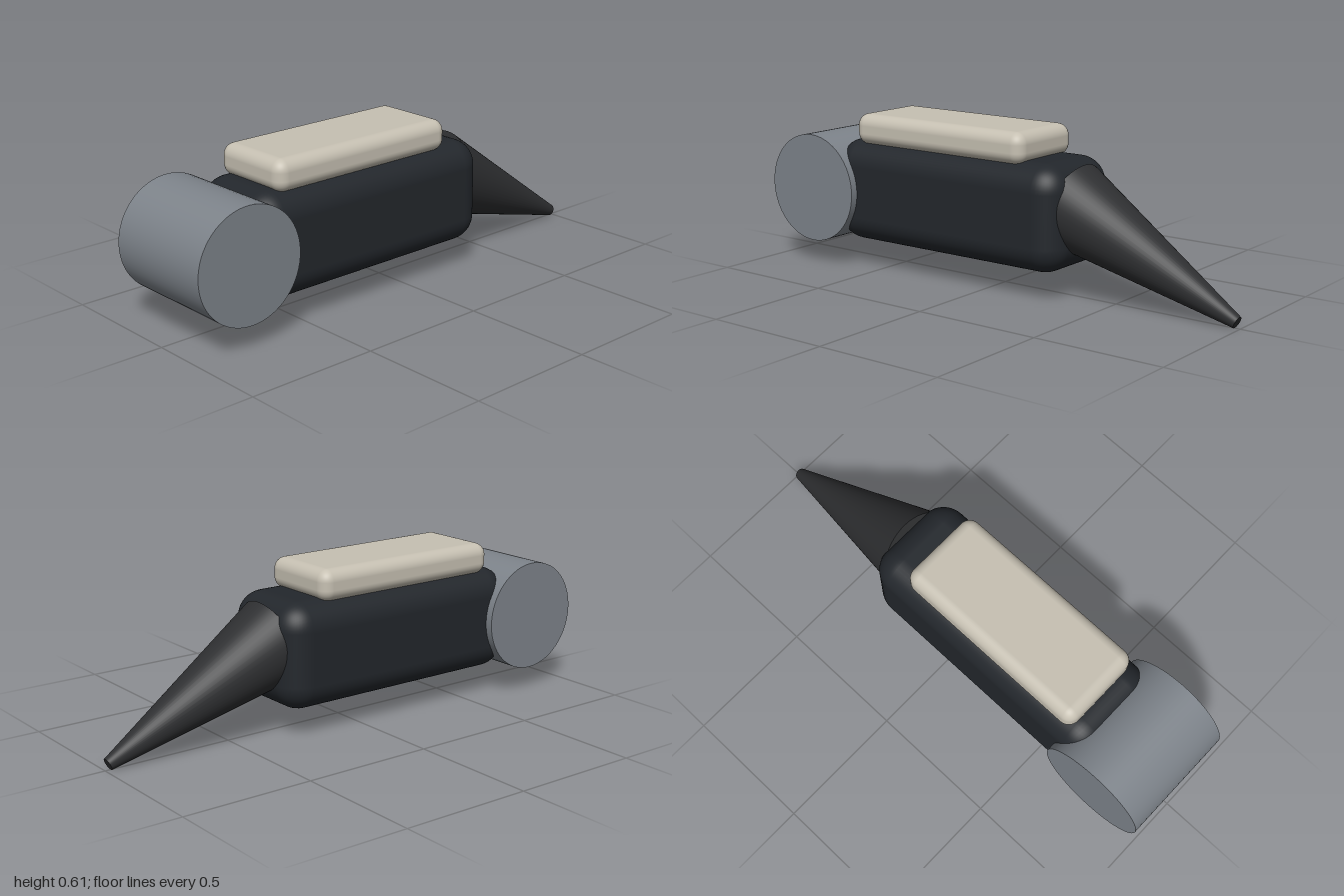
import * as THREE from 'three';
import { RoundedBoxGeometry } from 'three/addons/geometries/RoundedBoxGeometry.js';

export function createModel() {
  const group = new THREE.Group();

  const add = (name, geometry, color, x, y) => {
    const mesh = new THREE.Mesh(geometry, new THREE.MeshStandardMaterial({ color }));
    mesh.name = name;
    mesh.position.set(x, y, 0);
    group.add(mesh);
    return mesh;
  };

  // Main rounded housing
  add('body', new RoundedBoxGeometry(1.07, 0.4, 0.4, 6, 0.1), 0x23272c, -0.175, 0.305);

  // Cross-wise joint drum at the right end
  const joint = add('jointDrum', new THREE.CylinderGeometry(0.213, 0.213, 0.46, 64), 0x7d838a, -0.787, 0.305);
  joint.rotation.x = Math.PI / 2;

  // Pale pad on top
  add('topPad', new RoundedBoxGeometry(0.8, 0.12, 0.336, 6, 0.045), 0xc6c0b2, -0.21, 0.55);

  // Tapered nose, sloping down from inside the body to a small blunt tip
  const base = new THREE.Vector3(0.291, 0.345, 0);
  const tip = new THREE.Vector3(0.988, 0.022, 0);
  const axis = tip.clone().sub(base);
  const nose = add('taperedNose', new THREE.CylinderGeometry(0.023, 0.165, axis.length(), 48), 0x2e2f31,
    (base.x + tip.x) / 2, (base.y + tip.y) / 2);
  nose.quaternion.setFromUnitVectors(new THREE.Vector3(0, 1, 0), axis.normalize());

  return group;
}
